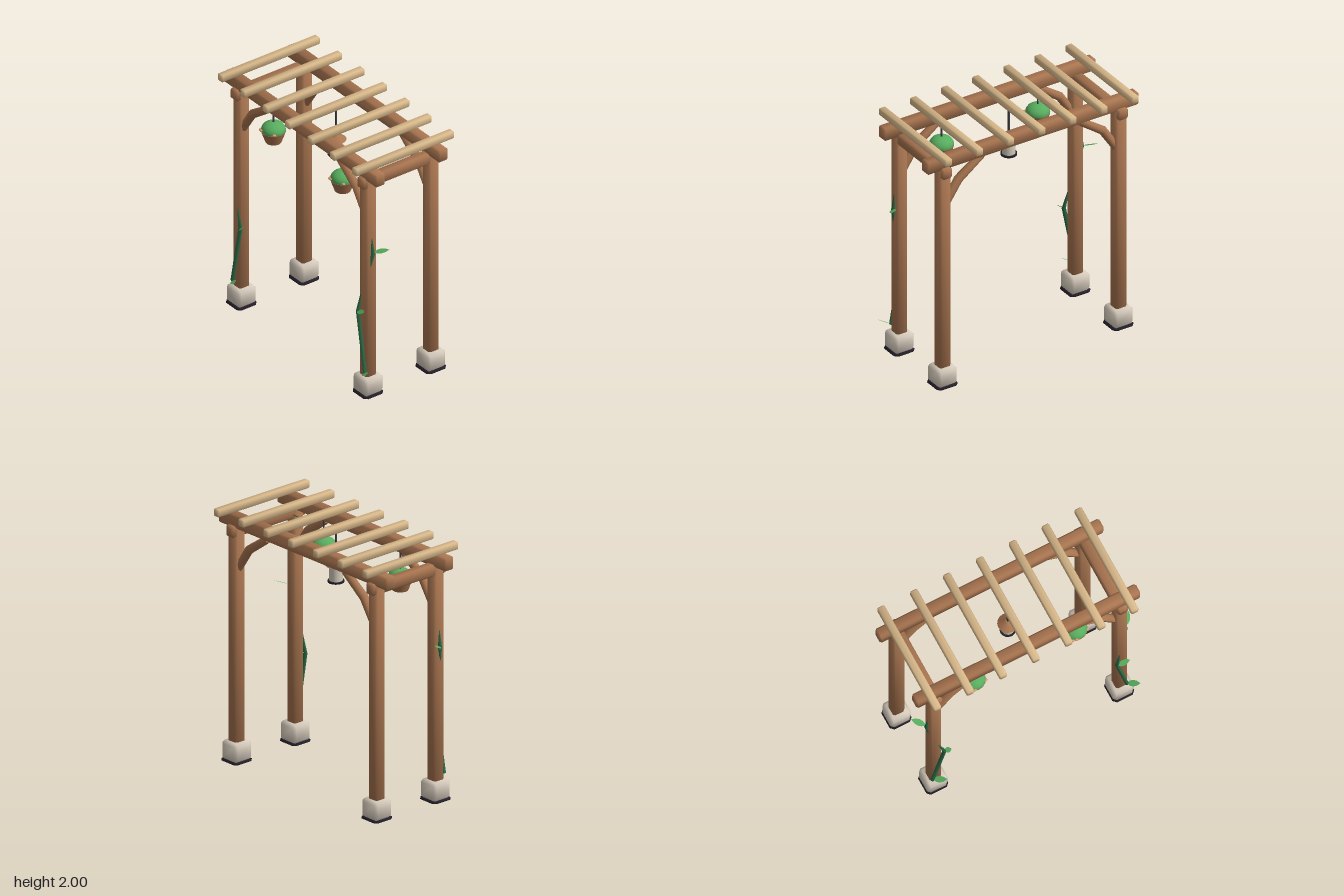
import * as THREE from 'three';
import { ConvexGeometry } from 'three/addons/geometries/ConvexGeometry.js';

const mat = (name, color, side = THREE.FrontSide) => {
  const m = new THREE.MeshStandardMaterial({ color, side });
  m.name = name;
  return m;
};

export function createModel() {
  const wood = mat('brown wood', 0xa97550);
  const paleWood = mat('pale wood', 0xd8b88a);
  const stone = mat('pale stone', 0xd6cbbc);
  const dark = mat('dark base', 0x241f2a);
  const iron = mat('iron', 0x3d3b46);
  const clay = mat('clay', 0xa66f4c);
  const leafGreen = mat('leaf green', 0x58ad5f, THREE.DoubleSide);
  const stemGreen = mat('stem green', 0x2c6b46);
  const peach = mat('peach blossom', 0xdc9f70);

  const model = new THREE.Group();
  model.name = 'pergola';
  const add = (name, geometry, material, x = 0, y = 0, z = 0, parent = model) => {
    const mesh = new THREE.Mesh(geometry, material);
    mesh.name = name;
    mesh.position.set(x, y, z);
    parent.add(mesh);
    return mesh;
  };
  const V = (x, y, z) => new THREE.Vector3(x, y, z);

  // Chamfered box whose normals are blended across the bevels
  const chamferBox = (w, h, d, c) => {
    const half = [w / 2, h / 2, d / 2];
    const cut = half.map((v) => Math.min(c, v * 0.45));
    const pts = [];
    for (const sx of [-1, 1]) for (const sy of [-1, 1]) for (const sz of [-1, 1]) {
      for (let axis = 0; axis < 3; axis++) {
        const p = [sx, sy, sz].map((s, i) => s * (half[i] - (i === axis ? 0 : cut[i])));
        pts.push(V(...p));
      }
    }
    const g = new ConvexGeometry(pts);
    const pos = g.attributes.position, nor = g.attributes.normal;
    for (let i = 0; i < pos.count; i++) {
      const p = [pos.getX(i), pos.getY(i), pos.getZ(i)];
      const n = p.map((v, k) => Math.sign(v) * (half[k] - Math.abs(v) < cut[k] * 0.5 ? 2.98 : 1.28));
      const l = Math.hypot(...n);
      nor.setXYZ(i, n[0] / l, n[1] / l, n[2] / l);
    }
    return g;
  };

  // Round limb swept along a polyline, with one radius per point
  const limb = (points, radii, ref, sides = 8) => {
    const n = points.length - 1;
    const g = new THREE.CylinderGeometry(1, 1, 1, sides, n);
    const pos = g.attributes.position;
    for (let i = 0; i < pos.count; i++) {
      const k = Math.round((pos.getY(i) + 0.5) * n);
      const t = points[Math.min(k + 1, n)].clone().sub(points[Math.max(k - 1, 0)]).normalize();
      const w = ref.clone().addScaledVector(t, -ref.dot(t)).normalize();
      const u = t.clone().cross(w);
      const p = points[k].clone()
        .addScaledVector(u, pos.getX(i) * radii[k])
        .addScaledVector(w, pos.getZ(i) * radii[k]);
      pos.setXYZ(i, p.x, p.y, p.z);
    }
    g.computeVertexNormals();
    return g;
  };

  // Pointed leaf from stem to tip, facing mostly up
  const leafShape = new THREE.Shape();
  leafShape.moveTo(0, 0);
  leafShape.quadraticCurveTo(0.45, 0.5, 1, 0);
  leafShape.quadraticCurveTo(0.45, -0.5, 0, 0);
  const leaf = (from, to, width = 0.045) => {
    const along = to.clone().sub(from);
    const length = along.length();
    along.normalize();
    const across = V(0, 1, 0.5).cross(along).normalize();
    const up = along.clone().cross(across);
    const g = new THREE.ShapeGeometry(leafShape, 4);
    g.scale(length, width * 2, 1);
    g.applyMatrix4(new THREE.Matrix4().makeBasis(along, across, up).setPosition(from));
    add('leaf', g, leafGreen);
  };

  const PX = 0.768, PZ = 0.287;

  // Posts on stone footings, with curved braces
  for (const sx of [-1, 1]) {
    for (const sz of [-1, 1]) {
      add('post', chamferBox(0.095, 1.72, 0.095, 0.014), wood, sx * PX, 0.99, sz * PZ);
      add('footing', chamferBox(0.168, 0.15, 0.168, 0.022), stone, sx * PX, 0.085, sz * PZ);
      add('footingPad', chamferBox(0.18, 0.014, 0.18, 0.025), dark, sx * PX, 0.007, sz * PZ);
      add('brace', limb([V(sx * 0.745, 1.52, sz * PZ), V(sx * 0.63, 1.695, sz * PZ),
        V(sx * 0.425, 1.84, sz * PZ)], [0.032, 0.034, 0.03], V(0, 0, 1)), wood);
    }
    add('crossBeam', chamferBox(0.085, 0.09, 0.725, 0.014), wood, sx * PX, 1.815, 0);
  }

  // Long beams and rafters
  for (const sz of [-1, 1]) {
    add('longBeam', chamferBox(1.85, 0.105, 0.09, 0.014), wood, 0, 1.89, sz * PZ);
  }
  for (let i = -3; i <= 3; i++) {
    add('rafter', chamferBox(0.06, 0.06, 0.9, 0.009), paleWood, i * 0.2715, 1.97, 0);
  }

  // Hanging flower pots
  for (const sx of [-1, 1]) {
    const pot = new THREE.Group();
    pot.name = 'hangingPot';
    pot.position.set(sx * 0.42, 0, 0.255);
    model.add(pot);
    add('potRod', new THREE.CylinderGeometry(0.007, 0.007, 0.15, 8), iron, 0, 1.775, 0, pot);
    add('potBody', new THREE.CylinderGeometry(0.093, 0.06, 0.095, 16), clay, 0, 1.598, 0, pot);
    add('foliage', new THREE.SphereGeometry(0.092, 16, 10), leafGreen, 0, 1.655, 0, pot).scale.y = 0.7;
    for (const [x, y, z] of [[-0.055, 1.65, 0.075], [-0.03, 1.66, 0.085], [-0.07, 1.643, 0.06], [0.075, 1.655, 0.05]]) {
      add('blossom', new THREE.SphereGeometry(0.014, 8, 6), peach, x, y, z, pot).scale.y = 0.7;
    }
  }

  // Lantern in the middle
  const lantern = new THREE.Group();
  lantern.name = 'lantern';
  model.add(lantern);
  add('lanternRod', new THREE.CylinderGeometry(0.008, 0.008, 0.23, 8), iron, 0, 1.835, 0, lantern);
  add('lanternRoof', new THREE.CylinderGeometry(0.018, 0.078, 0.05, 16), wood, 0, 1.71, 0, lantern);
  add('lanternGlass', new THREE.CylinderGeometry(0.05, 0.05, 0.12, 16), stone, 0, 1.627, 0, lantern);
  add('lanternBase', new THREE.CylinderGeometry(0.062, 0.062, 0.014, 16), dark, 0, 1.562, 0, lantern);

  // Climbing vines on the front posts
  for (const sx of [-1, 1]) {
    const knee = sx > 0 ? 0.72 : 0.705;
    add('frontVine', limb([V(sx * 0.803, 0.2, 0.34), V(sx * knee, 0.69, 0.343),
      V(sx * 0.747, 0.85, 0.335)], [0.016, 0.016, 0.004], V(0, 0, 1), 6), stemGreen);
    add('sideVine', limb([V(sx * 0.812, 1.1, 0.297), V(sx * 0.822, 1.21, 0.283),
      V(sx * 0.812, 1.34, 0.285)], [0.005, 0.017, 0.004], V(0, 0, 1), 6), stemGreen);
    leaf(V(sx * 0.82, 1.22, 0.275), V(sx * 0.9, 1.25, 0.19), 0.05);
    leaf(V(sx * 0.72, 1.785, 0.25), V(sx * 0.68, 1.82, 0.21), 0.05);
  }
  leaf(V(0.8, 0.2, 0.34), V(0.885, 0.235, 0.4), 0.05);
  leaf(V(-0.8, 0.2, 0.34), V(-0.71, 0.235, 0.4), 0.05);
  leaf(V(0.72, 0.695, 0.35), V(0.82, 0.73, 0.36));
  leaf(V(-0.705, 0.695, 0.345), V(-0.655, 0.72, 0.36));

  return model;
}
